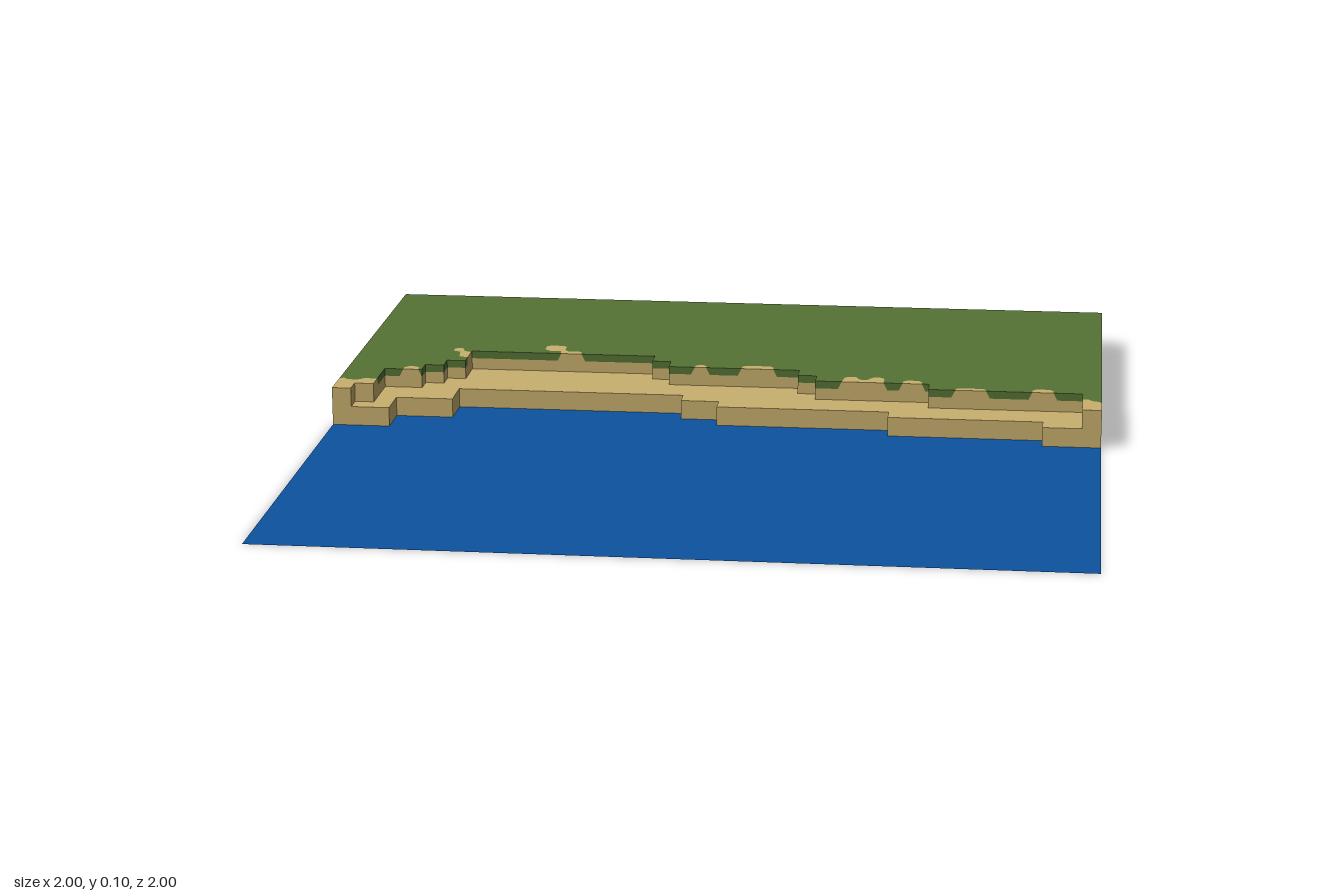
import * as THREE from 'three';

const SAND_Y = 0.05, DRIP_Y = 0.08, GRASS_Y = 0.1;

// Staircase line running left to right from a list of [xEnd, z] steps
function staircase(steps) {
  const pts = [];
  let x = -1;
  for (const [xEnd, z] of steps) {
    pts.push([x, z], [xEnd, z]);
    x = xEnd;
  }
  return pts;
}

const shore = staircase([[-0.85, 0], [-0.7, -0.1], [-0.1, -0.2], [0, -0.15], [0.45, -0.1], [0.85, -0.05], [1, 0]]);
const bank = staircase([[-0.95, 0], [-0.9, -0.05], [-0.8, -0.2], [-0.75, -0.25], [-0.7, -0.3], [-0.2, -0.4],
  [-0.15, -0.35], [0.2, -0.3], [0.25, -0.25], [0.55, -0.2], [0.95, -0.15], [1, 0]]);

// A small rounded bite of sand above a straight stretch of bank
const bite = (x0, x1, z, d) => [[x0, z], [x0, z - d * 0.6], [x0 + 0.01, z - d], [x1 - 0.01, z - d], [x1, z - d * 0.6], [x1, z]];

// Sand patches on the grass; each begins and ends on the bank line
const patches = [
  [[-1, 0], [-1, -0.09], [-0.99, -0.1], [-0.975, -0.085], [-0.95, -0.085], [-0.935, -0.1], [-0.9, -0.1]],
  bite(-0.85, -0.81, -0.2, 0.03),
  [[-0.7, -0.335], [-0.725, -0.345], [-0.73, -0.39], [-0.75, -0.4], [-0.75, -0.42], [-0.74, -0.43],
    [-0.727, -0.425], [-0.72, -0.4], [-0.7, -0.39]],
  [[-0.455, -0.4], [-0.46, -0.425], [-0.49, -0.425], [-0.505, -0.44], [-0.505, -0.47], [-0.495, -0.48], [-0.46, -0.48],
    [-0.45, -0.47], [-0.45, -0.44], [-0.44, -0.425], [-0.41, -0.425], [-0.4, -0.415], [-0.4, -0.4]],
  bite(-0.08, -0.05, -0.3, 0.025),
  bite(0.045, 0.13, -0.3, 0.03),
  [[0.32, -0.2], [0.325, -0.24], [0.335, -0.25], [0.355, -0.25], [0.365, -0.225], [0.385, -0.225],
    [0.4, -0.25], [0.42, -0.25], [0.43, -0.24], [0.43, -0.2]],
  bite(0.48, 0.53, -0.2, 0.03),
  bite(0.62, 0.7, -0.15, 0.02),
  bite(0.82, 0.875, -0.15, 0.03),
  [[0.95, -0.1], [0.965, -0.1], [0.975, -0.085], [0.99, -0.08], [1, -0.07], [1, 0]],
];

// Running length along a staircase, at its corners and at any point on it
const lengths = [0];
for (let i = 1; i < bank.length; i++) {
  lengths.push(lengths[i - 1] + Math.hypot(bank[i][0] - bank[i - 1][0], bank[i][1] - bank[i - 1][1]));
}
function lengthAt([x, z]) {
  for (let i = 1; i < bank.length; i++) {
    const a = bank[i - 1], b = bank[i];
    const da = Math.hypot(x - a[0], z - a[1]), db = Math.hypot(x - b[0], z - b[1]);
    if (Math.abs(da + db - (lengths[i] - lengths[i - 1])) < 1e-6) return lengths[i - 1] + da;
  }
  return 0;
}

// Flat horizontal sheets from outlines of [x, z]
function sheet(name, outlines, y, material) {
  const shapes = outlines.map((o) => new THREE.Shape(o.map(([x, z]) => new THREE.Vector2(x, -z))));
  const geo = new THREE.ShapeGeometry(shapes);
  geo.rotateX(-Math.PI / 2).translate(0, y, 0);
  const mesh = new THREE.Mesh(geo, material);
  mesh.name = name;
  return mesh;
}

// Upright panels; each quad is bottom left, bottom right, top right, top left
function panels(name, quads, material) {
  const pos = quads.flatMap(([a, b, c, d]) => [a, b, c, a, c, d].flat());
  const geo = new THREE.BufferGeometry();
  geo.setAttribute('position', new THREE.Float32BufferAttribute(pos, 3));
  geo.computeVertexNormals();
  const mesh = new THREE.Mesh(geo, material);
  mesh.name = name;
  return mesh;
}

function wall(line, y0, y1) {
  return line.slice(1).map((b, i) => {
    const a = line[i];
    return [[a[0], y0, a[1]], [b[0], y0, b[1]], [b[0], y1, b[1]], [a[0], y1, a[1]]];
  });
}

export function createModel() {
  const make = (name, color) => {
    const m = new THREE.MeshStandardMaterial({ color, side: THREE.DoubleSide });
    m.name = name;
    return m;
  };
  const grass = make('grass', 0x567334);
  const sand = make('sand', 0xc9b06e);
  const water = make('water', 0x0c52a0);

  // Work the patches into the grass outline and close each against the bank
  const spans = patches.map((p) => [lengthAt(p[0]), lengthAt(p[p.length - 1])]);
  const outline = [], patchOutlines = [];
  let next = 0;
  patches.forEach((p, k) => {
    const [s0, s1] = spans[k];
    while (next < bank.length && lengths[next] < s0 - 1e-6) outline.push(bank[next++]);
    const covered = [];
    while (next < bank.length && lengths[next] <= s1 + 1e-6) {
      if (lengths[next] > s0 + 1e-6 && lengths[next] < s1 - 1e-6) covered.push(bank[next]);
      next++;
    }
    outline.push(...p);
    patchOutlines.push([...p, ...covered.reverse()]);
  });
  const grassOutline = [...outline.slice(1, -1), [1, -1], [-1, -1]];

  // Top band of the bank: grass drips with slanted ends, sand between them
  const drips = [], gaps = [];
  for (let i = 1; i < bank.length; i++) {
    const a = bank[i - 1], b = bank[i], l0 = lengths[i - 1], l1 = lengths[i];
    const at = (s, y) => {
      const t = (s - l0) / (l1 - l0);
      return [a[0] + (b[0] - a[0]) * t, y, a[1] + (b[1] - a[1]) * t];
    };
    const cuts = [{ s: l0, foot: l0 }];
    for (const [s0, s1] of spans) {
      if (s0 > l0 + 1e-6 && s0 < l1 - 1e-6) cuts.push({ s: s0, foot: Math.max(l0, s0 - 0.01) });
      if (s1 > l0 + 1e-6 && s1 < l1 - 1e-6) cuts.push({ s: s1, foot: Math.min(l1, s1 + 0.01) });
    }
    cuts.push({ s: l1, foot: l1 });
    for (let k = 1; k < cuts.length; k++) {
      const p = cuts[k - 1], q = cuts[k], mid = (p.s + q.s) / 2;
      const bare = spans.some(([s0, s1]) => mid > s0 && mid < s1);
      (bare ? gaps : drips).push([at(p.foot, DRIP_Y), at(q.foot, DRIP_Y), at(q.s, GRASS_Y), at(p.s, GRASS_Y)]);
    }
  }

  const model = new THREE.Group();
  model.name = 'shoreTile';
  model.add(
    sheet('waterSurface', [[...shore, [1, 1], [-1, 1]]], 0, water),
    sheet('beach', [[...bank.slice(1, -1), ...shore.slice(1, -1).reverse()]], SAND_Y, sand),
    sheet('grassField', [grassOutline], GRASS_Y, grass),
    sheet('sandPatches', patchOutlines, GRASS_Y, sand),
    panels('shoreWall', wall(shore, 0, SAND_Y), sand),
    panels('bankWall', [...wall(bank, SAND_Y, DRIP_Y), ...gaps], sand),
    panels('grassDrips', drips, grass),
  );
  return model;
}
